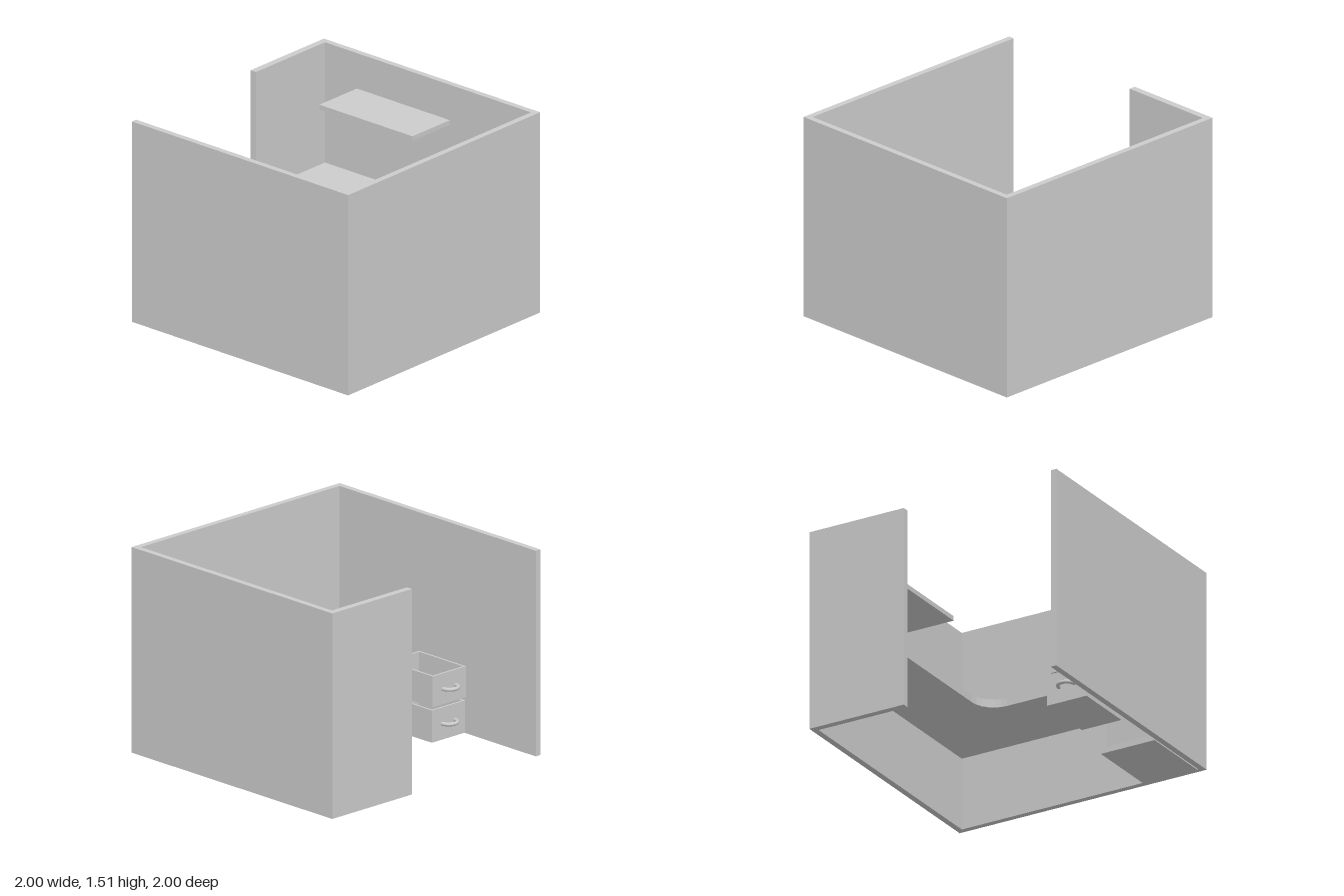
import * as THREE from 'three';

const material = new THREE.MeshStandardMaterial({ color: 0xcccccc });

function mesh(name, geometry) {
  const m = new THREE.Mesh(geometry, material);
  m.name = name;
  return m;
}

// Box given by its limits on each axis
function box(name, [x0, x1], [y0, y1], [z0, z1]) {
  const m = mesh(name, new THREE.BoxGeometry(x1 - x0, y1 - y0, z1 - z0));
  m.position.set((x0 + x1) / 2, (y0 + y1) / 2, (z0 + z1) / 2);
  return m;
}

// Floor-plan outline (x, z) raised from y0 to y1
function slab(name, shape, y0, y1, curveSegments = 3) {
  const g = new THREE.ExtrudeGeometry(shape, { depth: y1 - y0, bevelEnabled: false, curveSegments });
  g.rotateX(Math.PI / 2);
  g.translate(0, y1, 0);
  return mesh(name, g);
}

// Open-topped drawer with an arched pull on its -z face
function drawer(name, x0, y0, y1, z0) {
  const w = 0.32, d = 0.465, t = 0.015;
  const x1 = x0 + w, z1 = z0 + d;
  const g = new THREE.Group();
  g.name = name;
  g.add(
    box('drawerFloor', [x0, x1], [y0, y0 + t], [z0, z1]),
    box('drawerFront', [x0, x1], [y0 + t, y1], [z0, z0 + t]),
    box('drawerBack', [x0, x1], [y0 + t, y1], [z1 - t, z1]),
    box('drawerSide', [x0, x0 + t], [y0 + t, y1], [z0 + t, z1 - t]),
    box('drawerSide', [x1 - t, x1], [y0 + t, y1], [z0 + t, z1 - t])
  );
  const handle = mesh('drawerHandle', new THREE.TorusGeometry(0.062, 0.014, 10, 20, Math.PI));
  handle.rotation.x = -Math.PI / 2;
  handle.position.set((x0 + x1) / 2, (y0 + y1) / 2, z0);
  g.add(handle);
  return g;
}

export function createModel() {
  const model = new THREE.Group();
  model.name = 'officeCubicle';

  // Partition walls: one continuous run, open at part of the back
  const plan = new THREE.Shape([
    [-1, -1], [-0.955, -1], [-0.955, 0.955], [0.955, 0.955], [0.955, -0.95],
    [0.235, -0.95], [0.235, -1], [1, -1], [1, 1], [-1, 1],
  ].map(([x, z]) => new THREE.Vector2(x, z)));
  model.add(slab('partitionWalls', plan, 0.01, 1.51));

  // L-shaped desktop with a faceted inner corner
  const top = new THREE.Shape();
  top.moveTo(0.955, -0.95);
  top.lineTo(0.955, 0.955);
  top.lineTo(-0.955, 0.955);
  top.lineTo(-0.955, 0.38);
  top.lineTo(0.24, 0.38);
  top.absarc(0.24, 0.205, 0.175, Math.PI / 2, 0, true);
  top.lineTo(0.415, -0.95);
  model.add(slab('desktop', top, 0.55, 0.61));

  // Wall shelf
  model.add(box('wallShelf', [0.565, 0.955], [1.21, 1.245], [-0.655, 0.205]));

  // Cabinet under the desk, open towards the seat
  const cabinet = new THREE.Group();
  cabinet.name = 'drawerCabinet';
  const [x0, x1, h, z0, z1, t] = [-0.955, -0.52, 0.55, 0.38, 0.955, 0.045];
  cabinet.add(
    box('cabinetSide', [x0, x0 + t], [0, h], [z0, z1]),
    box('cabinetSide', [x1 - t, x1], [0, h], [z0, z1]),
    box('cabinetBase', [x0 + t, x1 - t], [0, t], [z0, z1]),
    box('cabinetTop', [x0 + t, x1 - t], [h - t, h], [z0, z1]),
    box('cabinetBack', [x0 + t, x1 - t], [t, h - t], [z1 - t, z1])
  );
  model.add(cabinet);

  // Drawers drawn right out of the cabinet
  model.add(drawer('lowerDrawer', -0.87, 0.055, 0.29, -0.385));
  model.add(drawer('upperDrawer', -0.892, 0.305, 0.53, -0.37));

  return model;
}
